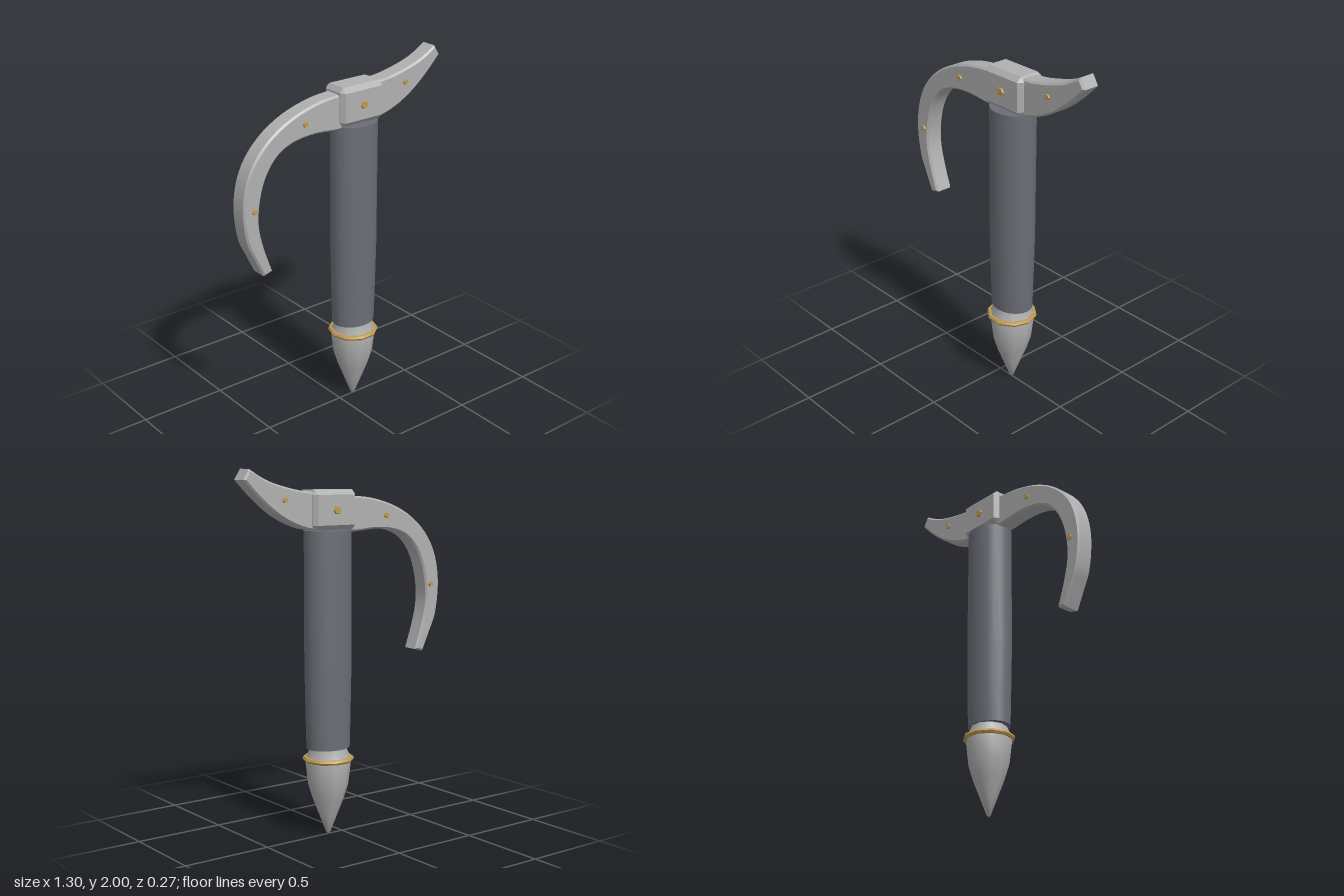
import * as THREE from 'three';
import { toCreasedNormals } from 'three/addons/utils/BufferGeometryUtils.js';
import { ConvexGeometry } from 'three/addons/geometries/ConvexGeometry.js';

const AXIS = 0.095; // x of the shaft

const steel = new THREE.MeshStandardMaterial({ name: 'steel', color: 0xb0b0b0 });
const grip = new THREE.MeshStandardMaterial({ name: 'slate grip', color: 0x6b6e76 });
const brass = new THREE.MeshStandardMaterial({ name: 'brass', color: 0xbf9a50 });

function add(group, name, geometry, material, x = 0, y = 0, z = 0) {
  const mesh = new THREE.Mesh(geometry, material);
  mesh.name = name;
  mesh.position.set(x, y, z);
  group.add(mesh);
  return mesh;
}

// Turned part from [radius, y] pairs, smooth around, creased at hard edges
function turned(profile, sides, crease) {
  const points = profile.map(([r, y]) => new THREE.Vector2(r, y));
  return toCreasedNormals(new THREE.LatheGeometry(points, sides, Math.PI / 2), crease);
}

function smoothLine(pairs, steps) {
  return new THREE.SplineCurve(pairs.map(([x, y]) => new THREE.Vector2(x, y))).getPoints(steps);
}

// Curved bar between an upper and a lower edge, with chamfered rims
function bar(upper, lower, steps) {
  const shape = new THREE.Shape([...smoothLine(upper, steps), ...smoothLine(lower, steps)]);
  const bevel = 0.01;
  const geometry = new THREE.ExtrudeGeometry(shape, {
    depth: 0.104 - 2 * bevel, steps: 1, bevelEnabled: true, bevelSegments: 1,
    bevelThickness: bevel, bevelSize: bevel, bevelOffset: -bevel,
  });
  geometry.translate(0, 0, -0.052 + bevel);
  return toCreasedNormals(geometry, 0.5);
}

// Box with all edges cut: half sizes h and cut depths c along each axis
function chamferedBox(h, c) {
  const points = [];
  for (const sx of [-1, 1]) for (const sy of [-1, 1]) for (const sz of [-1, 1]) {
    for (let full = 0; full < 3; full++) {
      const p = [0, 1, 2].map((i) => (i === full ? h[i] : h[i] - c[i]));
      points.push(new THREE.Vector3(sx * p[0], sy * p[1], sz * p[2]));
    }
  }
  return new ConvexGeometry(points);
}

export function createModel() {
  const model = new THREE.Group();
  model.name = 'hooked pick';

  // Pointed foot with its collar ring
  add(model, 'spike', turned([
    [0, 0], [0.012, 0.01], [0.05, 0.11], [0.085, 0.2], [0.111, 0.285],
    [0.126, 0.42], [0.122, 0.44], [0.098, 0.49], [0.098, 0.52],
  ], 10, 0.75), steel, AXIS);
  const ring = new THREE.TorusGeometry(0.128, 0.014, 6, 10);
  ring.rotateX(Math.PI / 2);
  add(model, 'collarRing', toCreasedNormals(ring, 0.7), brass, AXIS, 0.43);

  // Oval shaft, slightly narrower at the foot
  const shaft = turned([
    [0, 0.492], [0.126, 0.492], [0.131, 0.7], [0.136, 0.95], [0.136, 1.675], [0, 1.675],
  ], 20, 0.8);
  shaft.scale(1, 1, 0.83);
  add(model, 'shaft', shaft, grip, AXIS);

  // Head block
  add(model, 'headBlock', chamferedBox([0.14, 0.106, 0.083], [0.02, 0.026, 0.026]),
    steel, AXIS, 1.784);

  // Long hook sweeping down
  add(model, 'hook', bar([
    [0.05, 1.86], [-0.045, 1.855], [-0.18, 1.84], [-0.335, 1.795], [-0.47, 1.72], [-0.575, 1.615],
    [-0.635, 1.49], [-0.655, 1.34], [-0.635, 1.18], [-0.59, 1.075], [-0.54, 0.97],
  ], [
    [-0.485, 0.985], [-0.53, 1.115], [-0.558, 1.235], [-0.558, 1.34], [-0.535, 1.45],
    [-0.495, 1.54], [-0.43, 1.615], [-0.335, 1.66], [-0.2, 1.675], [-0.035, 1.665], [0.05, 1.69],
  ], 36), steel);

  // Short beak rising on the other side
  add(model, 'beak', bar([
    [0.65, 1.945], [0.565, 1.86], [0.46, 1.775], [0.35, 1.715], [0.23, 1.68], [0.14, 1.69],
  ], [
    [0.14, 1.87], [0.23, 1.88], [0.325, 1.892], [0.46, 1.925], [0.54, 1.957], [0.615, 2.0],
  ], 16), steel);

  // Hexagonal rivets on both faces
  const rivets = [
    [AXIS, 1.783, 0.026, 0.083], [-0.265, 1.745, 0.018, 0.052],
    [-0.59, 1.35, 0.018, 0.052], [0.405, 1.84, 0.018, 0.052],
  ];
  for (const [x, y, r, z] of rivets) {
    for (const side of [-1, 1]) {
      const head = new THREE.CylinderGeometry(r * 0.8, r, 0.02, 6);
      head.rotateY(Math.PI / 6);
      head.rotateX(side * Math.PI / 2);
      add(model, 'rivet', toCreasedNormals(head, 0.4), brass, x, y, side * z);
    }
  }
  return model;
}
